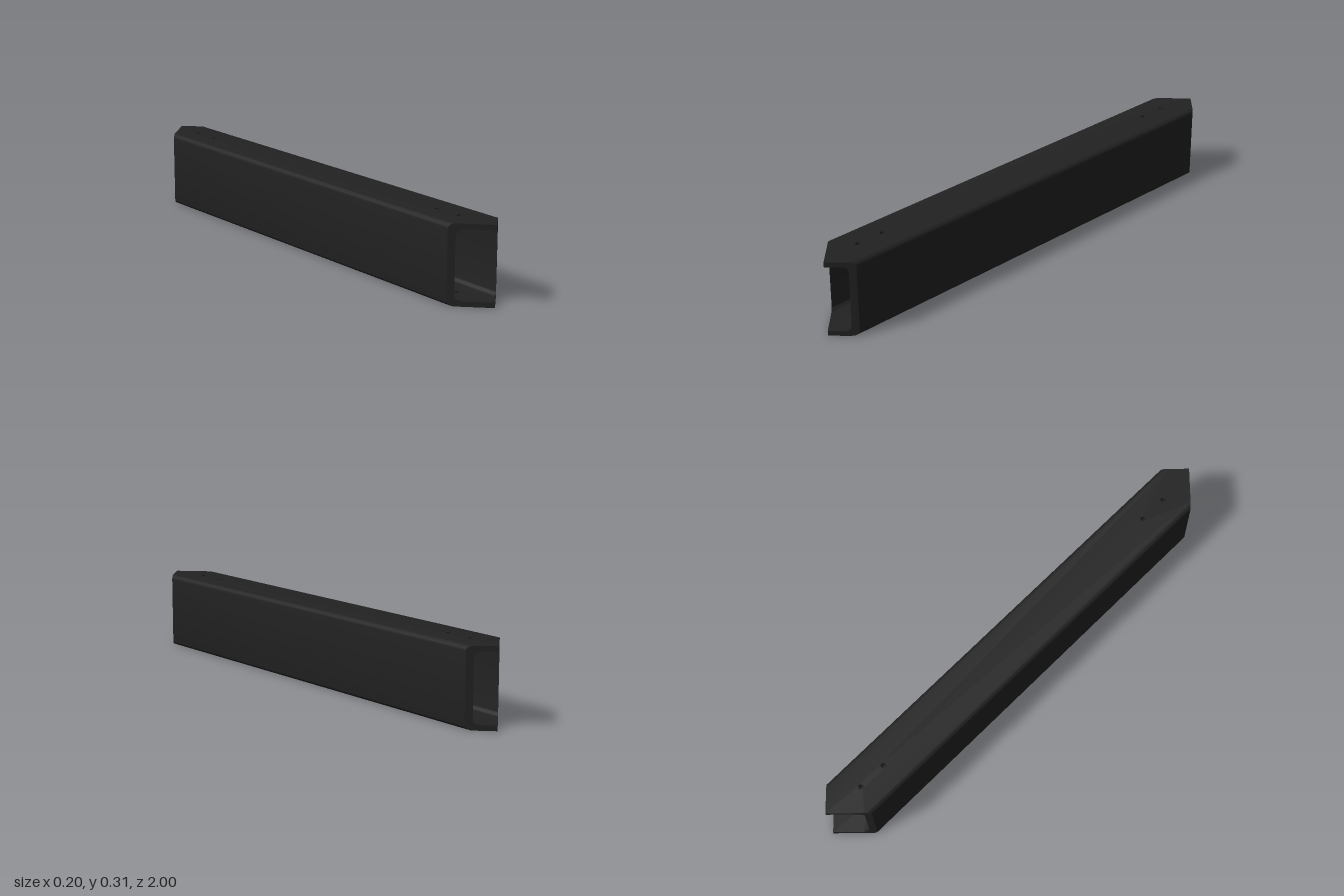
import * as THREE from 'three';
import { mergeGeometries, toCreasedNormals } from 'three/addons/utils/BufferGeometryUtils.js';

const HALF_W = 0.102, HEIGHT = 0.306, WALL = 0.02, RADIUS = 0.02;
const APEX_X = 0.02, ARC = 6, HOLE_R = 0.01;
const HOLES_Z = [-0.836, -0.72, 0.709, 0.825];

// Both ends are mitred at 45 degrees to a vertical ridge
const endZ = x => 1 - Math.abs(x - APEX_X);

// Rounded rectangle, counter-clockwise, with a ridge point on top and bottom
function ring(inset) {
  const cx = HALF_W - inset - RADIUS, lo = inset + RADIUS, hi = HEIGHT - lo;
  const corners = [[cx, lo], [cx, hi], [-cx, hi], [-cx, lo]];
  const pts = [];
  corners.forEach(([x, y], k) => {
    for (let i = 0; i <= ARC; i++) {
      const a = (k - 1 + i / ARC) * Math.PI / 2;
      pts.push([x + RADIUS * Math.cos(a), y + RADIUS * Math.sin(a)]);
    }
    if (k === 1) pts.push([APEX_X, HEIGHT - inset]);
  });
  pts.push([APEX_X, inset]);
  return pts;
}

// Side walls and rounded corners, plus the mitred end faces
function wallsAndEnds() {
  const pos = [];
  const quad = (a, b, c, d) => pos.push(...a, ...b, ...c, ...a, ...c, ...d);
  const at = ([x, y], s) => [x, y, s * endZ(x)];
  const outer = ring(0), inner = ring(WALL);
  outer.forEach((a, i) => {
    const j = (i + 1) % outer.length;
    const b = outer[j], c = inner[j], d = inner[i];
    const flat = a[0] === APEX_X || b[0] === APEX_X; // covered by the drilled sheets
    if (!flat) {
      quad(at(a, -1), at(b, -1), at(b, 1), at(a, 1));
      quad(at(d, 1), at(c, 1), at(c, -1), at(d, -1));
    }
    quad(at(a, 1), at(b, 1), at(c, 1), at(d, 1));
    quad(at(d, -1), at(c, -1), at(b, -1), at(a, -1));
  });
  const g = new THREE.BufferGeometry();
  g.setAttribute('position', new THREE.Float32BufferAttribute(pos, 3));
  return g;
}

// Flat drilled sheet at height y, facing up (1) or down (-1)
function sheet(halfWidth, y, facing) {
  const xs = [-halfWidth, APEX_X, halfWidth];
  const outline = [
    ...xs.map(x => new THREE.Vector2(x, -endZ(x))),
    ...xs.reverse().map(x => new THREE.Vector2(x, endZ(x))),
  ];
  const shape = new THREE.Shape(outline);
  for (const z of HOLES_Z) {
    shape.holes.push(new THREE.Path().absarc(0, -facing * z, HOLE_R, 0, Math.PI * 2, true));
  }
  return new THREE.ShapeGeometry(shape, 16).rotateX(-facing * Math.PI / 2).translate(0, y, 0);
}

// Inside of a drilled hole: a cylinder turned inside out
function bore(y, z) {
  return new THREE.CylinderGeometry(HOLE_R, HOLE_R, WALL, 16, 1, true)
    .scale(-1, 1, 1).translate(0, y, z);
}

function positionsOnly(geometry) {
  const g = geometry.index ? geometry.toNonIndexed() : geometry;
  const out = new THREE.BufferGeometry();
  out.setAttribute('position', g.getAttribute('position'));
  return out;
}

export function createModel() {
  const group = new THREE.Group();
  group.name = 'mitredTube';

  const outerFlat = HALF_W - RADIUS, innerFlat = outerFlat - WALL;
  const parts = [
    wallsAndEnds(),
    sheet(outerFlat, HEIGHT, 1),
    sheet(innerFlat, HEIGHT - WALL, -1),
    sheet(innerFlat, WALL, 1),
    sheet(outerFlat, 0, -1),
  ];
  for (const z of HOLES_Z) parts.push(bore(WALL / 2, z), bore(HEIGHT - WALL / 2, z));

  const geometry = toCreasedNormals(mergeGeometries(parts.map(positionsOnly)), Math.PI / 6);
  const tube = new THREE.Mesh(geometry, new THREE.MeshStandardMaterial({ color: 0x222222 }));
  tube.name = 'rectangularTube';
  group.add(tube);
  return group;
}
